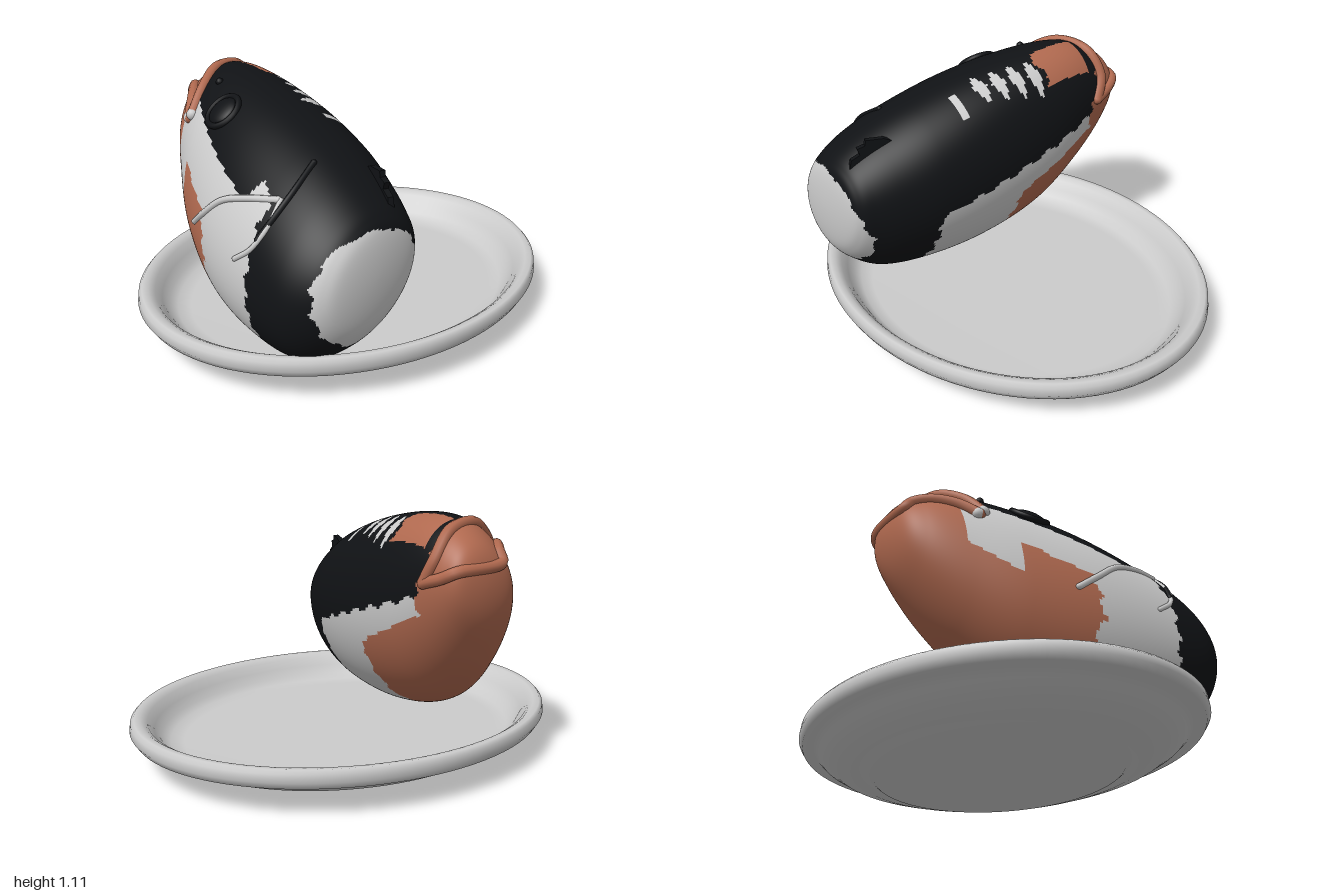
import * as THREE from 'three';

const LIGHT = 0xcccccc, DARK = 0x101215, ORANGE = 0xb0694f;
const TAU = Math.PI * 2;
const paint = (color) => new THREE.MeshStandardMaterial({ color, side: THREE.DoubleSide, roughness: 0.8 });

function add(group, name, geometry, color) {
  const mesh = new THREE.Mesh(geometry, paint(color));
  mesh.name = name;
  group.add(mesh);
  return mesh;
}

// Body stations along x: x, top y, bottom y, back z, front z
const STATIONS = [
  [-0.74, 0.84, 0.84, 0.22, 0.22],
  [-0.72, 0.96, 0.71, 0.10, 0.35],
  [-0.65, 1.04, 0.57, 0.05, 0.44],
  [-0.50, 1.10, 0.38, 0.02, 0.545],
  [-0.30, 1.10, 0.22, 0.00, 0.66],
  [0.00, 1.05, 0.12, 0.01, 0.77],
  [0.30, 0.96, 0.10, 0.06, 0.815],
  [0.50, 0.87, 0.13, 0.13, 0.81],
  [0.60, 0.81, 0.20, 0.18, 0.77],
  [0.66, 0.76, 0.27, 0.22, 0.72],
  [0.69, 0.71, 0.34, 0.27, 0.66],
  [0.71, 0.53, 0.53, 0.47, 0.47],
];
const angleOf = (x) => Math.acos(THREE.MathUtils.clamp(-(x + 0.015) / 0.725, -1, 1));
const spline = new THREE.CubicInterpolant(
  STATIONS.map((s) => angleOf(s[0])), STATIONS.flatMap((s) => s.slice(1)), 4, new Float64Array(4));
const LEAN = THREE.MathUtils.degToRad(102);

// Point on the leaning elliptical section at x
function surface(x, t) {
  const [top, bottom, back, front] = spline.evaluate(angleOf(x));
  return new THREE.Vector3(x,
    (top + bottom) / 2 + (top - bottom) / 2 * Math.sin(t),
    (front + back) / 2 + (front - back) / 2 * Math.sin(t + LEAN));
}

// Point on the skin at a given x and y; side 1 is the front, -1 the back
function onSkin(x, y, side = 1) {
  const [top, bottom] = spline.evaluate(angleOf(x));
  const a = Math.asin(THREE.MathUtils.clamp((2 * y - top - bottom) / (top - bottom), -1, 1));
  return surface(x, side > 0 ? a : Math.PI - a);
}

// Outward direction of the skin
function skinNormal(x, y) {
  const e = 0.02, p = onSkin(x, y);
  return onSkin(x + e, y).sub(p).cross(onSkin(x, y + e).sub(p)).normalize();
}

// Skin patches: orange jaw, light cheek and end, dark back and rear band
function patchColor(p, front) {
  const { x, y, z } = p;
  const wave = 0.012 * Math.sin(y * 60) + 0.006 * Math.sin(y * 131);
  if (x > 0.6 + 0.25 * Math.max(0, y - 0.5) && Math.hypot((z - 0.48) / 0.265, (y - 0.48) / 0.245) < 1 + wave * 2) return LIGHT;
  if (x > 0.33 + wave) return DARK;
  if (y > 0.9 && z < 0.3) {
    if (x > -0.53 && x < -0.28 + wave && z > 0.06 && z < 0.21) return ORANGE;
    if (x > -0.28 && x < 0.06 && Math.abs(z - 0.1 - (x + 0.28) * 0.3) < 0.03 + 0.04 * Math.sin(x * 75)) return LIGHT;
    if (x > 0.13 && x < 0.16 && z > 0.13 && z < 0.24) return LIGHT;
  }
  if (!front) {
    if (x < (y < 0.5 ? -0.1 : y < 0.7 ? -0.1 - (y - 0.5) * 2 : y < 0.85 ? -0.52 : -0.58) + wave) return ORANGE;
    return y > 0.81 - 0.32 * (x + 0.6) + 0.01 * Math.sin(x * 50) ? DARK : LIGHT;
  }
  const limit = y < 0.45 ? -0.1 + (y - 0.21) * 0.28 : y < 0.64 ? -0.03 - (y - 0.45) * 0.15
    : y < 0.75 ? -0.06 - (y - 0.64) * 2.2 : -0.53 + (y - 0.75) * 0.35;
  const notch = x > -0.53 && x < -0.33 && y > 0.74 - (x + 0.53) * 0.7;
  if (x < limit + wave && !notch) return ORANGE;
  const edge = x < 0.2 ? 0.765 - 0.34 * (x - 0.2) : x < 0.25 ? 0.765 + (x - 0.2) * 1.6 : 0.845 - (x - 0.25) * 0.6;
  return y > edge ? DARK : LIGHT;
}

function buildBody(group) {
  const U = 200, T = 220, positions = [], sets = { [LIGHT]: [], [DARK]: [], [ORANGE]: [] };
  const at = (i, j) => surface(-0.015 - 0.725 * Math.cos(Math.PI * i / U), TAU * j / T);
  for (let i = 0; i <= U; i++) for (let j = 0; j < T; j++) positions.push(...at(i, j).toArray());
  const all = [];
  for (let i = 0; i < U; i++) for (let j = 0; j < T; j++) {
    const a = i * T + j, b = a + T, c = i * T + (j + 1) % T, d = c + T;
    const quad = [a, b, d, a, d, c];
    all.push(...quad);
    sets[patchColor(at(i + 0.5, j + 0.5), Math.cos(TAU * (j + 0.5) / T) > 0)].push(...quad);
  }
  const whole = new THREE.BufferGeometry();
  whole.setAttribute('position', new THREE.Float32BufferAttribute(positions, 3));
  whole.setIndex(all);
  whole.computeVertexNormals();
  const names = { [LIGHT]: 'lightSkin', [DARK]: 'darkSkin', [ORANGE]: 'orangeSkin' };
  for (const key of Object.keys(sets)) {
    whole.setIndex(sets[key]);
    add(group, names[key], whole.toNonIndexed(), Number(key));
  }
}

// Round strand along the skin with rounded ends; points are x, y, side
function strand(group, name, points, radius, color) {
  const curve = new THREE.CatmullRomCurve3(points.map((p) => onSkin(...p)));
  add(group, name, new THREE.TubeGeometry(curve, 48, radius, 10), color);
  for (const end of [0, 1]) {
    add(group, name + 'End', new THREE.SphereGeometry(radius, 10, 8), color).position.copy(curve.getPoint(end));
  }
}

function buildPlate(group) {
  const outline = [
    [0, 0], [0.61, 0], [0.64, 0.02], [0.72, 0.03], [0.82, 0.06], [0.89, 0.1], [0.925, 0.13],
    [0.98, 0.13], [1, 0.16], [0.995, 0.195], [0.98, 0.21], [0.95, 0.208], [0.92, 0.19],
    [0.89, 0.15], [0.86, 0.11], [0.82, 0.085], [0.76, 0.075], [0, 0.075],
  ].map(([r, y]) => new THREE.Vector2(r, y));
  const plate = new THREE.LatheGeometry(outline, 96);
  plate.scale(0.83, 1, 1);
  add(group, 'plate', plate, LIGHT);
}

export function createModel() {
  const model = new THREE.Group();
  model.name = 'fishHeadOnPlate';
  buildPlate(model);

  const fish = new THREE.Group();
  fish.name = 'fishHead';
  model.add(fish);
  buildBody(fish);

  // Lips
  strand(fish, 'upperLip', [[-0.44, 0.92], [-0.48, 1.02], [-0.54, 1.078], [-0.585, 1.055, -1],
    [-0.6, 0.95, -1], [-0.56, 0.85, -1]], 0.026, ORANGE);
  strand(fish, 'lowerLip', [[-0.46, 0.9], [-0.53, 0.96], [-0.61, 0.985], [-0.675, 0.97], [-0.71, 0.93],
    [-0.705, 0.91, -1], [-0.65, 0.88, -1], [-0.56, 0.85, -1]], 0.026, ORANGE);
  for (const [x, y] of [[-0.44, 0.92], [-0.465, 0.9]]) {
    add(fish, 'lipCorner', new THREE.SphereGeometry(0.028, 12, 10), LIGHT).position.copy(onSkin(x, y));
  }

  // Eye: socket ring, inner ring and ball
  const eye = new THREE.Group();
  eye.name = 'eye';
  eye.position.copy(onSkin(-0.2, 0.99));
  eye.quaternion.setFromUnitVectors(new THREE.Vector3(0, 0, 1), skinNormal(-0.2, 0.99));
  add(eye, 'eyeSocket', new THREE.TorusGeometry(0.08, 0.014, 10, 32), DARK);
  add(eye, 'eyeRing', new THREE.TorusGeometry(0.045, 0.012, 8, 24), DARK);
  add(eye, 'eyeBall', new THREE.SphereGeometry(0.07, 24, 16), DARK).scale.z = 0.35;
  fish.add(eye);
  add(fish, 'nostril', new THREE.SphereGeometry(0.018, 12, 8), DARK).position.copy(onSkin(-0.38, 1.06));

  // Gill edge and fin rays
  strand(fish, 'gillEdge', [[0.37, 0.91], [0.395, 0.83], [0.385, 0.75], [0.35, 0.66]], 0.013, DARK);
  strand(fish, 'longFinRay', [[-0.13, 0.57], [-0.04, 0.64], [0.08, 0.73], [0.2, 0.77], [0.36, 0.8]], 0.014, LIGHT);
  strand(fish, 'shortFinRay', [[0.37, 0.8], [0.375, 0.71], [0.33, 0.62], [0.245, 0.555]], 0.011, LIGHT);

  // Ragged stub of the back fin
  const finShape = new THREE.Shape([
    [0.4, 0.84], [0.49, 0.88], [0.57, 0.885], [0.575, 0.86], [0.61, 0.85], [0.6, 0.82],
    [0.64, 0.8], [0.65, 0.76], [0.62, 0.68], [0.5, 0.74],
  ].map(([x, y]) => new THREE.Vector2(x, y)));
  const fin = add(fish, 'backFin', new THREE.ExtrudeGeometry(finShape, { depth: 0.025, bevelEnabled: false }), DARK);
  fin.geometry.translate(-0.5, 0, 0);
  fin.position.set(0.5, 0, 0.28);
  fin.rotation.y = -0.3;
  return model;
}
